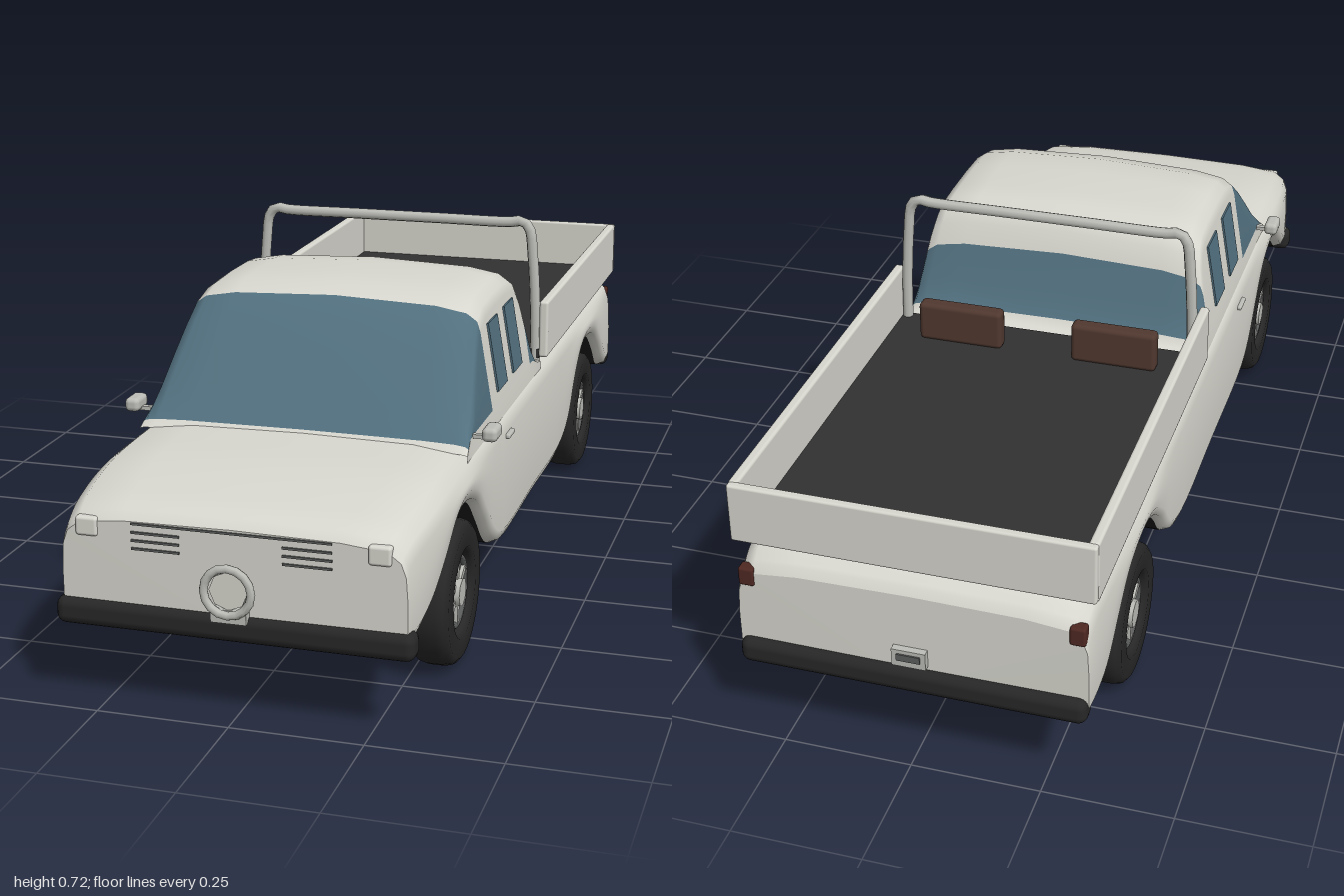
import * as THREE from 'three';
import { RoundedBoxGeometry } from 'three/addons/geometries/RoundedBoxGeometry.js';

const mat = (name, color, side = THREE.FrontSide) => {
  const m = new THREE.MeshStandardMaterial({ color, side });
  m.name = name;
  return m;
};

// Skin over a list of equal-length rings (z increasing); matOf picks a material index per quad
function loft(rings, matOf = () => 0) {
  const n = rings[0].length, buckets = [];
  for (let i = 0; i < rings.length - 1; i++) {
    for (let j = 0; j < n - 1; j++) {
      const a = i * n + j, b = a + 1, c = a + n, d = c + 1;
      (buckets[matOf(i, j)] ??= []).push(a, b, c, b, d, c);
    }
  }
  const g = new THREE.BufferGeometry();
  g.setAttribute('position', new THREE.Float32BufferAttribute(rings.flat(2), 3));
  g.setIndex(buckets.flat());
  let start = 0;
  buckets.forEach((b, k) => { g.addGroup(start, b.length, k); start += b.length; });
  g.computeVertexNormals();
  return g;
}

// Right-to-left mirrored ring from half profile points [x, y]
const mirrorRing = (half, z) => [
  ...half.map(([x, y]) => [x, y, z]),
  ...half.slice(0, -1).reverse().map(([x, y]) => [-x, y, z]),
];

export function createModel() {
  const root = new THREE.Group();
  const paint = mat('ivory paint', 0xd8d7cf);
  const glass = mat('blue glass', 0x52707f);
  const black = mat('black rubber', 0x272727);
  const under = mat('underbody black', 0x1c1c1c);
  const floorMat = mat('bed liner', 0x333233);
  const brown = mat('brown seat', 0x50382f);
  const metal = mat('light metal', 0xbdbdb8);
  const rimMat = mat('dark rim', 0x5c5e5d);
  const red = mat('tail lamp', 0x4f2822);

  const add = (name, geo, m, x = 0, y = 0, z = 0, parent = root) => {
    const mesh = new THREE.Mesh(geo, m);
    mesh.name = name;
    mesh.position.set(x, y, z);
    parent.add(mesh);
    return mesh;
  };
  const box = (name, w, h, d, m, x, y, z) => add(name, new THREE.BoxGeometry(w, h, d), m, x, y, z);
  const rbox = (name, w, h, d, r, m, x, y, z) =>
    add(name, new RoundedBoxGeometry(w, h, d, 2, r), m, x, y, z);

  // Lower body: stations of z, bottom height, top height
  const stations = [
    [-0.965, 0.165, 0.385], [-0.93, 0.17, 0.408], [-0.875, 0.19, 0.415], [-0.8, 0.25, 0.415],
    [-0.72, 0.3, 0.415], [-0.62, 0.316, 0.415], [-0.53, 0.3, 0.415], [-0.45, 0.245, 0.415],
    [-0.38, 0.17, 0.415], [-0.29, 0.136, 0.415], [0, 0.133, 0.415], [0.32, 0.136, 0.415],
    [0.39, 0.165, 0.415], [0.46, 0.23, 0.415], [0.53, 0.29, 0.415], [0.62, 0.316, 0.414],
    [0.71, 0.3, 0.412], [0.785, 0.25, 0.406], [0.86, 0.2, 0.396], [0.92, 0.175, 0.385],
    [0.957, 0.168, 0.372],
  ];
  const curve = new THREE.CatmullRomCurve3(stations.map(s => new THREE.Vector3(...s)));
  const rows = curve.getPoints(100).map(p => [p.x, p.y, p.z]);
  rows.unshift([-0.974, 0.172, 0.37]);
  rows.push([0.968, 0.178, 0.36]);
  const halfWidth = z => 0.341 - 0.022 * Math.max(0, (z - 0.72) / 0.25) ** 2 - 0.008 * Math.max(0, (-z - 0.8) / 0.17) ** 2;
  const bodyRings = rows.map(([z, b, t]) => {
    const w = halfWidth(z);
    return mirrorRing([[w - 0.025, b], [w - 0.008, b + 0.008], [w, b + 0.028], [w, (b + t) / 2 - 0.01],
      [w - 0.003, t - 0.055], [w - 0.012, t - 0.03], [w - 0.035, t - 0.012], [w - 0.12, t - 0.003], [0, t]], z);
  });
  add('body', loft(bodyRings), paint);
  // Nose and tail panels close the ends
  const collapse = (ring, dz) => ring.map(p => [0, ring[0][1], p[2] + dz]);
  const nose = bodyRings.at(-1), tail = bodyRings[0];
  add('nosePanel', loft([nose, collapse(nose, 0.002)]), paint);
  add('tailPanel', loft([collapse(tail, -0.002), tail]), paint);
  add('underbody', loft(rows.map(([z, b]) => {
    const w = halfWidth(z) - 0.025;
    return [[-w, b, z], [w, b, z]];
  })), under);

  // Cabin: roof line of z, height; glass fills the sloping front and rear
  const roof = [[-0.1, 0.408], [-0.07, 0.418], [-0.05, 0.433], [-0.025, 0.495], [0, 0.565], [0.015, 0.61],
    [0.035, 0.636], [0.065, 0.65], [0.12, 0.655], [0.22, 0.656], [0.3, 0.652], [0.355, 0.635],
    [0.4, 0.598], [0.45, 0.548], [0.5, 0.493], [0.54, 0.448], [0.565, 0.42], [0.58, 0.405]];
  const sideX = y => 0.328 - 0.17 * (y - 0.4);
  const cabRings = roof.map(([z, t]) => {
    const k = Math.min(1, Math.max(0.1, (t - 0.4) / 0.1));
    const y1 = t - 0.055 * k, w = sideX(y1), sill = Math.min(0.423, y1);
    return mirrorRing([[0.328, 0.375], [sideX(sill), sill], [sideX((sill + y1) / 2), (sill + y1) / 2], [w, y1],
      [w - 0.007, t - 0.034 * k], [w - 0.028, t - 0.019 * k], [w - 0.09, t - 0.008 * k], [0, t]], z);
  });
  add('cabin', loft(cabRings, (i, j) => {
    const inGlass = (i >= 2 && i < 4) || (i >= 11 && i < 16);
    return inGlass && j > 0 && j < 13 ? 1 : 0;
  }), [paint, glass]);

  // Load bed with side boards, tailgate and two backward seats
  box('bedFloor', 0.645, 0.02, 0.845, floorMat, 0, 0.418, -0.525);
  rbox('tailgate', 0.684, 0.12, 0.018, 0.005, paint, 0, 0.476, -0.955);

  for (const s of [-1, 1]) {
    rbox('bedSide', 0.02, 0.125, 0.86, 0.006, paint, s * 0.333, 0.475, -0.522);
    rbox('bedSeat', 0.18, 0.085, 0.035, 0.01, brown, s * 0.165, 0.468, -0.182);
    // Side windows
    for (const z of [0.26, 0.118]) {
      const win = box('sideWindow', 0.008, 0.14, 0.082, glass, s * sideX(0.515), 0.515, z);
      win.rotation.z = s * Math.atan(0.17);
    }
    // Mirrors, handles and lamps
    rbox('mirror', 0.03, 0.028, 0.055, 0.01, metal, s * 0.36, 0.432, 0.518);
    box('mirrorArm', 0.04, 0.008, 0.012, metal, s * 0.332, 0.422, 0.518);
    rbox('doorHandle', 0.012, 0.01, 0.05, 0.004, metal, s * 0.341, 0.352, 0.27);
    rbox('headlight', 0.042, 0.036, 0.03, 0.006, paint, s * 0.27, 0.341, 0.958);
    rbox('tailLamp', 0.03, 0.038, 0.025, 0.005, red, s * 0.312, 0.35, -0.966);
    // Lower grille slats
    for (const y of [0.338, 0.323, 0.308]) box('grilleSlat', 0.09, 0.004, 0.008, rimMat, s * 0.14, y, 0.968);
  }
  box('grilleSlatTop', 0.37, 0.004, 0.008, rimMat, 0, 0.354, 0.967);

  // Roll bar
  const barHalf = [[0.312, 0.4], [0.31, 0.52], [0.302, 0.64], [0.295, 0.69], [0.28, 0.707], [0.25, 0.704], [0.1, 0.704]];
  const barPath = new THREE.CatmullRomCurve3(
    [...barHalf, ...barHalf.map(([x, y]) => [-x, y]).reverse()].map(([x, y]) => new THREE.Vector3(x, y, -0.112)));
  add('rollBar', new THREE.TubeGeometry(barPath, 70, 0.0115, 8), metal);

  // Bumpers
  rbox('frontBumper', 0.668, 0.052, 0.05, 0.018, black, 0, 0.178, 0.957);
  rbox('rearBumper', 0.664, 0.052, 0.05, 0.018, black, 0, 0.188, -0.968);

  // Round ring on a bracket at the nose, plate holder at the tail
  add('noseRing', new THREE.TorusGeometry(0.044, 0.008, 8, 16), metal, 0, 0.253, 0.99);
  add('noseRingBack', new THREE.CylinderGeometry(0.036, 0.036, 0.02, 8).rotateX(Math.PI / 2), paint, 0, 0.253, 0.975);
  box('ringBracket', 0.066, 0.025, 0.02, metal, 0, 0.206, 0.978);
  box('plateHolder', 0.065, 0.036, 0.018, metal, 0, 0.24, -0.98);
  box('plateRecess', 0.045, 0.014, 0.004, rimMat, 0, 0.243, -0.99);

  // Wheels, built with the outer face toward +x
  const tireGeo = new THREE.LatheGeometry([[0.082, -0.03], [0.088, -0.039], [0.125, -0.039], [0.136, -0.03],
    [0.14, -0.015], [0.14, 0.015], [0.136, 0.03], [0.125, 0.039], [0.088, 0.039], [0.082, 0.03], [0.078, 0.012]]
    .map(p => new THREE.Vector2(...p)), 32).rotateZ(-Math.PI / 2);
  const disc = (r, h, n) => new THREE.CylinderGeometry(r, r, h, n).rotateZ(-Math.PI / 2);
  for (const s of [-1, 1]) {
    for (const z of [0.61, -0.622]) {
      const wheel = new THREE.Group();
      wheel.name = 'wheel';
      wheel.position.set(s * 0.294, 0.141, z);
      wheel.rotation.y = s > 0 ? 0 : Math.PI;
      root.add(wheel);
      add('tire', tireGeo, black, 0, 0, 0, wheel);
      add('rim', disc(0.083, 0.04, 24), rimMat, 0, 0, 0, wheel);
      add('innerCover', disc(0.084, 0.01, 24), black, -0.027, 0, 0, wheel);
      add('rimRing', new THREE.TorusGeometry(0.066, 0.007, 6, 24).rotateY(Math.PI / 2), rimMat, 0.022, 0, 0, wheel);
      add('hub', disc(0.028, 0.03, 8), metal, 0.02, 0, 0, wheel);
      for (let k = 0; k < 6; k++) {
        const a = k * Math.PI / 3;
        const spoke = add('spoke', new THREE.BoxGeometry(0.01, 0.035, 0.014), metal, 0.022,
          0.045 * Math.cos(a), 0.045 * Math.sin(a), wheel);
        spoke.rotation.x = a;
      }
    }
  }
  return root;
}
